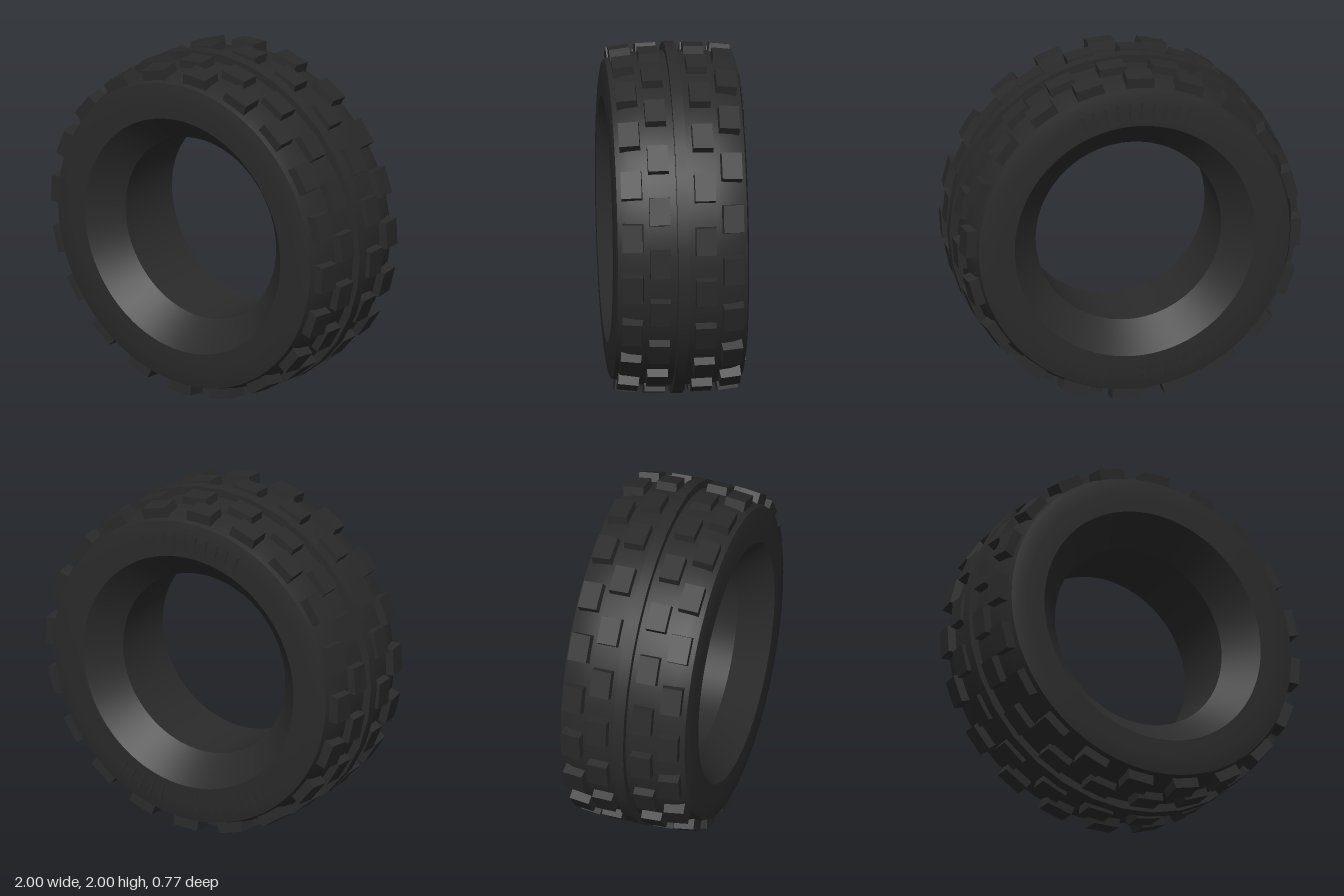
import * as THREE from 'three';

export function createModel() {
  const tyre = new THREE.Group();
  tyre.name = 'tyre';
  const rubber = new THREE.MeshStandardMaterial({ color: 0x2a2a2a });
  rubber.name = 'black rubber';

  const add = (name, geometry, parent = tyre) => {
    const mesh = new THREE.Mesh(geometry, rubber);
    mesh.name = name;
    parent.add(mesh);
    return mesh;
  };

  // Ring swept around the z axis from [radius, z] points
  const ring = (name, points, segments = 96) => {
    const g = new THREE.LatheGeometry(points.map(([r, z]) => new THREE.Vector2(r, z)), segments);
    g.rotateX(Math.PI / 2);
    return add(name, g);
  };

  // Both halves of a ring, mirrored with the facing direction kept
  const mirroredRing = (name, points) => {
    ring(name + 'Front', points);
    ring(name + 'Back', points.map(([r, z]) => [r, -z]).reverse());
  };

  // Carcass: separate strips keep the edges between them sharp
  ring('treadSurface', [
    [0.905, -0.37], [0.93, -0.3], [0.945, -0.2], [0.95, -0.05],
    [0.95, 0.05], [0.945, 0.2], [0.93, 0.3], [0.905, 0.37],
  ]);
  mirroredRing('sidewall', [[0.905, 0.37], [0.86, 0.379], [0.8, 0.384], [0.7, 0.385]]);
  mirroredRing('innerFlare', [[0.7, 0.385], [0.62, 0.3], [0.54, 0.215]]);
  ring('bore', [[0.54, 0.215], [0.54, -0.215]]);

  // Raised centre band with flat sides
  ring('centreBandTop', [[1, -0.032], [1, 0.032]], 32);
  ring('centreBandFront', [[1, 0.032], [0.94, 0.032]], 32);
  ring('centreBandBack', [[0.94, -0.032], [1, -0.032]], 32);

  // Tread block: a box narrowed slightly towards its outer face (+x)
  const block = new THREE.BoxGeometry(0.085, 0.165, 0.122);
  const p = block.attributes.position;
  for (let i = 0; i < p.count; i++) {
    if (p.getX(i) > 0) p.setXYZ(i, p.getX(i), p.getY(i) * 0.95, p.getZ(i) * 0.95);
  }
  block.computeVertexNormals();

  // Four staggered rows of blocks; the outer rows lean towards the shoulders
  const rows = [
    { name: 'frontOuterBlock', z: 0.285, r: 0.938, tilt: -0.12, phase: -3.2 },
    { name: 'frontInnerBlock', z: 0.13, r: 0.949, tilt: -0.03, phase: 5.6 },
    { name: 'backInnerBlock', z: -0.13, r: 0.949, tilt: 0.03, phase: -4.8 },
    { name: 'backOuterBlock', z: -0.285, r: 0.938, tilt: 0.12, phase: 2.6 },
  ];
  for (const row of rows) {
    for (let i = 0; i < 20; i++) {
      const spoke = new THREE.Group();
      spoke.name = row.name;
      spoke.rotation.z = THREE.MathUtils.degToRad(row.phase + 18 * i);
      const mesh = add(row.name + 'Body', block, spoke);
      mesh.position.set(row.r, 0, row.z);
      mesh.rotation.y = row.tilt;
      tyre.add(spoke);
    }
  }

  // Plain raised ribs on the back sidewall, in degrees clockwise seen from the front
  const rib = new THREE.BoxGeometry(0.014, 0.1, 0.009);
  const ribRuns = [
    { start: -22, step: 5, count: 10 },
    { start: 144, step: 4.2, count: 7 },
    { start: 176, step: 5, count: 1 },
    { start: 193, step: 5, count: 5 },
  ];
  for (const { start, step, count } of ribRuns) {
    for (let i = 0; i < count; i++) {
      // the lower runs are numbered from the other side of the bottom
      const deg = start + step * i;
      const a = THREE.MathUtils.degToRad(start > 90 ? 360 - deg : deg);
      const x = start > 90 ? Math.sin(a) : -Math.sin(a);
      const mesh = add('sidewallRib', rib);
      mesh.position.set(start > 90 ? -x * -1 : x, Math.cos(a), 0).multiplyScalar(0.79);
      mesh.position.z = -0.384;
      mesh.rotation.z = Math.atan2(-mesh.position.x, mesh.position.y);
    }
  }

  tyre.position.y = 1;
  const model = new THREE.Group();
  model.name = 'model';
  model.add(tyre);
  return model;
}
